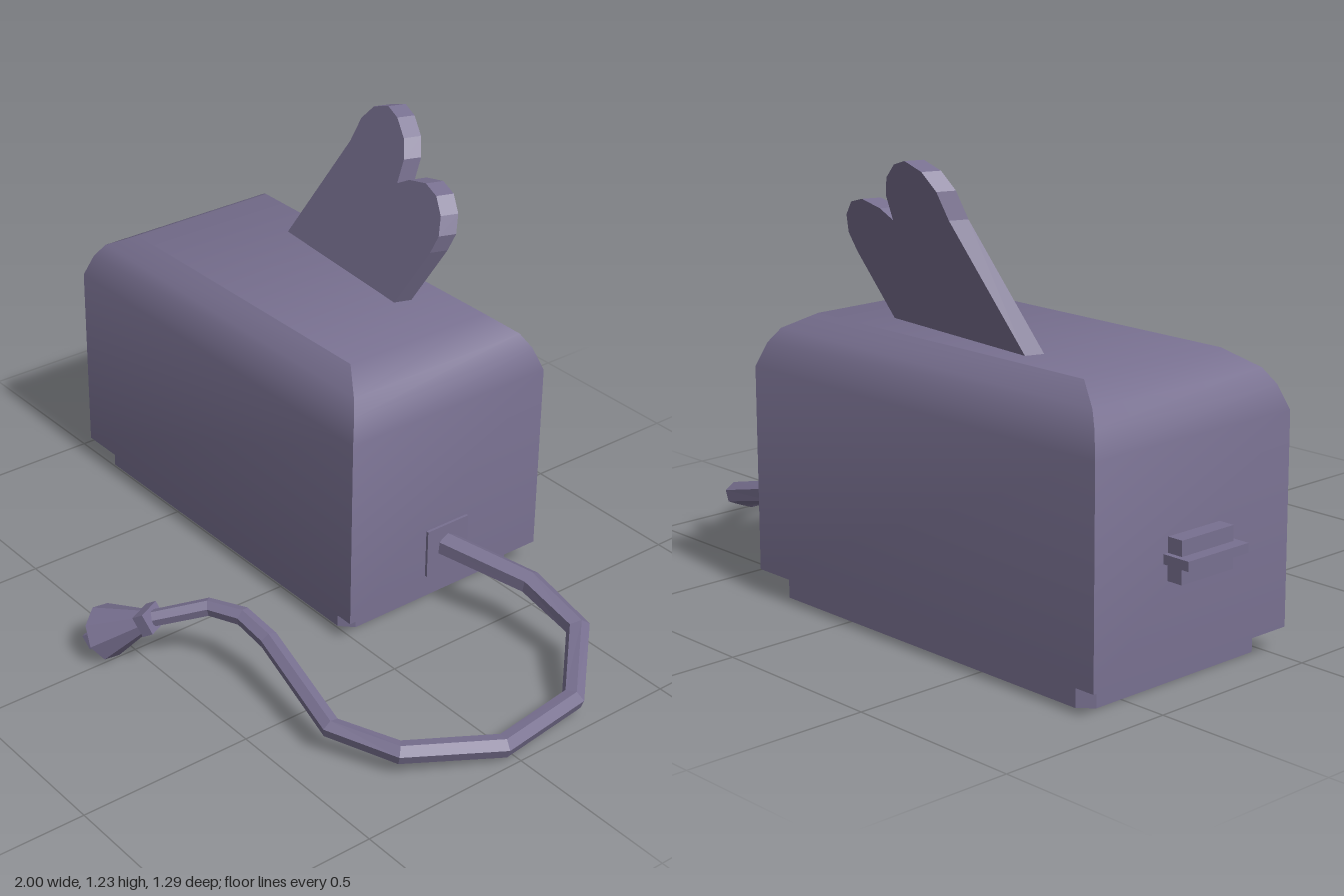
import * as THREE from 'three';
import { toCreasedNormals } from 'three/addons/utils/BufferGeometryUtils.js';

const COLOR = 0x787090;

function add(parent, name, geometry, x = 0, y = 0, z = 0, flat = false) {
  const material = new THREE.MeshStandardMaterial({ color: COLOR, flatShading: flat, side: THREE.DoubleSide });
  const mesh = new THREE.Mesh(geometry, material);
  mesh.name = name;
  mesh.position.set(x, y, z);
  parent.add(mesh);
  return mesh;
}

// Box given by its two extremes on each axis
function addBox(parent, name, [x0, x1], [y0, y1], [z0, z1]) {
  return add(parent, name, new THREE.BoxGeometry(x1 - x0, y1 - y0, z1 - z0),
    (x0 + x1) / 2, (y0 + y1) / 2, (z0 + z1) / 2, true);
}

// Stacked rectangles [halfX, halfZ, y], closed on top
function loftRects(sections, cx, cz) {
  const pos = [], index = [];
  for (const [hx, hz, y] of sections) {
    for (const [sx, sz] of [[-1, 1], [1, 1], [1, -1], [-1, -1]]) pos.push(cx + sx * hx, y, cz + sz * hz);
  }
  for (let r = 0; r < sections.length - 1; r++) {
    for (let i = 0; i < 4; i++) {
      const a = r * 4 + i, b = r * 4 + (i + 1) % 4;
      index.push(a, b, b + 4, a, b + 4, a + 4);
    }
  }
  const t = (sections.length - 1) * 4;
  index.push(t, t + 1, t + 2, t, t + 2, t + 3);
  const g = new THREE.BufferGeometry();
  g.setAttribute('position', new THREE.Float32BufferAttribute(pos, 3));
  g.setIndex(index);
  return toCreasedNormals(g, 0.5);
}

// Rectangle with cut corners
function cutRect(hx, hy, c) {
  return [[-hx + c, -hy], [hx - c, -hy], [hx, -hy + c], [hx, hy - c],
    [hx - c, hy], [-hx + c, hy], [-hx, hy - c], [-hx, -hy + c]].map(p => new THREE.Vector2(...p));
}

// Straight-segment path whose rings sit exactly on the given points
class Polyline extends THREE.Curve {
  constructor(points) { super(); this.points = points; }
  getPoint(t, target = new THREE.Vector3()) {
    const s = t * (this.points.length - 1);
    const i = Math.min(Math.floor(s), this.points.length - 2);
    return target.lerpVectors(this.points[i], this.points[i + 1], s - i);
  }
  getPointAt(u, target) { return this.getPoint(u, target); }
  getTangentAt(u, target) { return this.getTangent(u, target); }
}

function buildToast() {
  const outline = [[-0.575, 0.7], [-0.02, 0.7], [0.0, 0.78], [0.085, 0.95], [0.1, 1.0], [0.085, 1.05],
    [0.045, 1.09], [-0.01, 1.105], [-0.08, 1.09], [-0.125, 1.065], [-0.125, 1.13], [-0.15, 1.18],
    [-0.2, 1.22], [-0.25, 1.235], [-0.31, 1.215], [-0.35, 1.17], [-0.37, 1.1], [-0.535, 0.78]];
  const depth = 0.048;
  const g = new THREE.ExtrudeGeometry(new THREE.Shape(outline.map(p => new THREE.Vector2(...p))),
    { depth, bevelEnabled: false });
  // Lean the slice back and turn it slightly
  const p = g.attributes.position;
  for (let i = 0; i < p.count; i++) {
    const x = p.getX(i), y = p.getY(i), back = depth - p.getZ(i);
    p.setXYZ(i, x + back * 0.35, y, -0.395 + 0.084 * x - 0.34 * (y - 0.78) - back);
  }
  g.computeVertexNormals();
  return g;
}

function buildCord() {
  const path = [[0.34, 0.2, -0.31], [0.6, 0.175, -0.39], [0.79, 0.13, -0.39], [0.94, 0.055, -0.235],
    [0.965, 0.043, 0.03], [0.85, 0.07, 0.28], [0.68, 0.085, 0.365], [0.37, 0.165, 0.325],
    [0.27, 0.19, 0.335], [0.18, 0.19, 0.38], [0.09, 0.155, 0.5]].map(p => new THREE.Vector3(...p));
  const sides = 6, n = path.length - 1;
  const g = new THREE.TubeGeometry(new Polyline(path), n, 0.036, sides, false);
  // Thin the cord towards the plug
  const p = g.attributes.position, v = new THREE.Vector3();
  for (let i = 0; i < p.count; i++) {
    const ring = Math.floor(i / (sides + 1));
    v.fromBufferAttribute(p, i).sub(path[ring]).multiplyScalar(1 - 0.35 * ring / n).add(path[ring]);
    p.setXYZ(i, v.x, v.y, v.z);
  }
  return g;
}

export function createModel() {
  const toaster = new THREE.Group();
  toaster.name = 'toaster';
  const cx = -0.29, cz = -0.3125;

  // Housing with rounded shoulders; the first section forms the underside rim
  add(toaster, 'housing', loftRects([[0.56, 0.29, 0.07], [0.63, 0.3375, 0.07], [0.63, 0.3375, 0.63],
    [0.605, 0.315, 0.695], [0.575, 0.292, 0.735], [0.49, 0.235, 0.78]], cx, cz));

  // Hollow base whose walls run up inside the housing
  const base = new THREE.Shape(cutRect(0.578, 0.31, 0.035));
  base.holes.push(new THREE.Path(cutRect(0.555, 0.287, 0.025).reverse()));
  const baseGeometry = new THREE.ExtrudeGeometry(base, { depth: 0.62, bevelEnabled: false });
  baseGeometry.rotateX(-Math.PI / 2);
  add(toaster, 'base', baseGeometry, cx, 0.005, cz, true);
  addBox(toaster, 'innerCeiling', [-0.86, 0.28], [0.61, 0.62], [-0.61, -0.01]);

  // Lever on the right end
  addBox(toaster, 'leverBlock', [-0.965, -0.92], [0.29, 0.4], [-0.405, -0.225]);
  addBox(toaster, 'leverHandle', [-1, -0.92], [0.335, 0.36], [-0.42, -0.21]);
  addBox(toaster, 'leverStem', [-0.925, -0.81], [0.325, 0.355], [-0.33, -0.3]);

  add(toaster, 'toast', buildToast(), 0, 0, 0, true);

  // Power cord
  addBox(toaster, 'cordPlate', [0.335, 0.348], [0.12, 0.265], [-0.385, -0.24]);
  add(toaster, 'cord', buildCord(), 0, 0, 0, true);

  // Plug, built along its own z axis
  const plug = new THREE.Group();
  plug.name = 'plug';
  plug.position.set(0.09, 0.155, 0.5);
  plug.lookAt(-0.045, 0.065, 0.567);
  addBox(plug, 'plugNeck', [-0.038, 0.038], [-0.03, 0.03], [-0.005, 0.03]);
  const plugBody = new THREE.CylinderGeometry(0.085, 0.035, 0.14, 8);
  plugBody.rotateX(Math.PI / 2);
  add(plug, 'plugBody', plugBody, 0, 0, 0.1, true).scale.y = 0.9;
  for (const s of [-1, 1]) {
    addBox(plug, 'prong', [s * 0.035 - 0.008, s * 0.035 + 0.008], [-0.022, 0.022], [0.165, 0.215]);
  }
  toaster.add(plug);
  return toaster;
}
